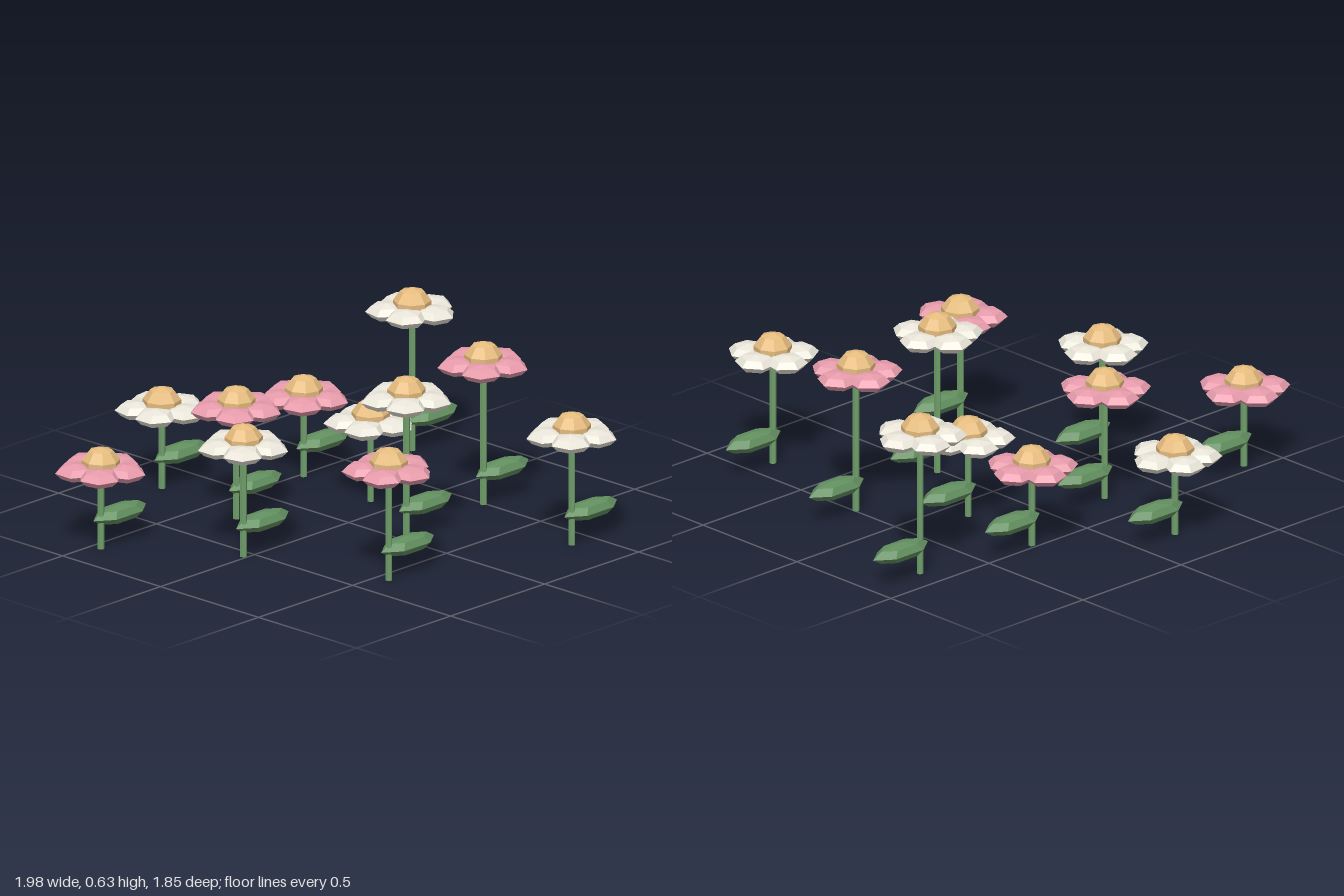
import * as THREE from 'three';

const paint = (color) => new THREE.MeshStandardMaterial({ color, flatShading: true });
const green = paint(0x6f9f6a), leafGreen = paint(0x639060);
const pink = paint(0xe89cac), white = paint(0xebe7db), yellow = paint(0xe6bc7e);

// x, z, height of the bloom, petal material, turn of the bloom in degrees
const LOW = 0.307, MID = 0.428, HIGH = 0.545;
const FLOWERS = [
  [-0.195, -0.765, LOW, white, -6],
  [-0.843, -0.455, LOW, pink, 5],
  [-0.253, -0.33, MID, pink, 5],
  [0.262, -0.48, LOW, pink, 5],
  [0.75, -0.395, HIGH, white, -5],
  [-0.543, -0.015, MID, white, 6],
  [0.232, -0.11, LOW, white, -5],
  [0.016, 0.28, HIGH, white, 6],
  [0.493, 0.215, HIGH, pink, 4],
  [-0.365, 0.555, MID, pink, -5],
  [0.39, 0.765, MID, white, 6],
];

const petalGeo = new THREE.SphereGeometry(1, 6, 4).scale(0.08, 0.032, 0.08);
const centreGeo = new THREE.SphereGeometry(1, 8, 5).scale(0.075, 0.072, 0.075);
const leafGeo = new THREE.SphereGeometry(1, 6, 4).scale(0.14, 0.034, 0.058);

function part(name, geometry, material, x, y, z) {
  const mesh = new THREE.Mesh(geometry, material);
  mesh.name = name;
  mesh.position.set(x, y, z);
  return mesh;
}

function makeFlower(height, petalMaterial, turn) {
  const flower = new THREE.Group();
  flower.name = 'flower';

  // stem with one leaf reaching to the side
  const stemGeo = new THREE.CylinderGeometry(0.013, 0.013, height, 6);
  flower.add(part('stem', stemGeo, green, 0, height / 2, 0));
  flower.add(part('leaf', leafGeo, leafGreen, 0.1, 0.116, 0));

  // ring of five petals around a domed centre
  const bloom = new THREE.Group();
  bloom.name = 'bloom';
  bloom.position.y = height;
  bloom.rotation.y = THREE.MathUtils.degToRad(turn);
  for (let i = 0; i < 5; i++) {
    const a = (i / 5) * Math.PI * 2;
    const petal = part('petal', petalGeo, petalMaterial, Math.cos(a) * 0.095, 0, -Math.sin(a) * 0.095);
    petal.rotation.y = a;
    bloom.add(petal);
  }
  bloom.add(part('flowerCentre', centreGeo, yellow, 0, 0.018, 0));
  flower.add(bloom);
  return flower;
}

export function createModel() {
  const model = new THREE.Group();
  model.name = 'flowerPatch';
  for (const [x, z, height, material, turn] of FLOWERS) {
    const flower = makeFlower(height, material, turn);
    flower.position.set(x, 0, z);
    model.add(flower);
  }
  return model;
}
